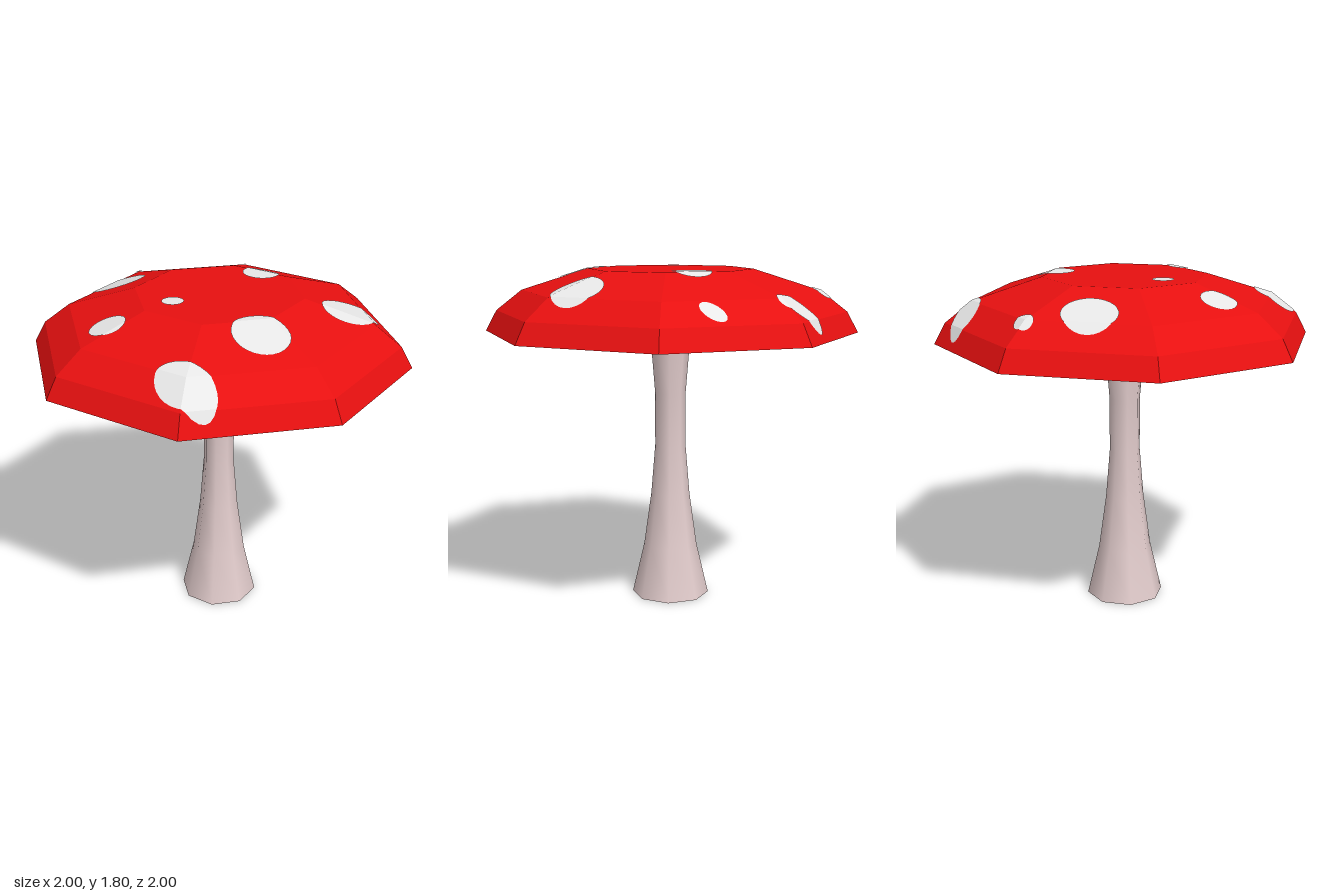
import * as THREE from 'three';

const SIDES = 8;
// Cap rings, rim to crown: [radius, height]
const CAP = [[1, 1.46], [0.94, 1.57], [0.8, 1.68], [0.44, 1.795], [0, 1.795]];
const STEM = [[0.21, 0], [0.145, 0.28], [0.105, 0.57], [0.083, 0.84], [0.083, 1.13], [0.108, 1.44]];
// Spots seen from above: [x, z, half width, half depth, turn]
const SPOTS = [
  [0.01, -0.8, 0.06, 0.046, 0.5],
  [-0.24, -0.615, 0.15, 0.13, 0.2],
  [0.525, -0.655, 0.074, 0.122, -0.42],
  [0.768, -0.24, 0.041, 0.068, 0.2],
  [0.36, -0.125, 0.096, 0.102, 0],
  [-0.615, -0.065, 0.091, 0.094, 0],
  [-0.26, -0.027, 0.056, 0.056, 0],
  [0.515, 0.43, 0.16, 0.133, -0.1],
  [-0.1, 0.5, 0.138, 0.148, -0.2],
  [-0.575, 0.575, 0.106, 0.168, -0.28],
];

const lathe = (profile) =>
  new THREE.LatheGeometry(profile.map(([r, y]) => new THREE.Vector2(r, y)), SIDES);

function flat(geometry) {
  const g = geometry.toNonIndexed();
  g.computeVertexNormals();
  return g;
}

function corner([r, y], i) {
  const a = (i / SIDES) * Math.PI * 2;
  return new THREE.Vector3(r * Math.sin(a), y, r * Math.cos(a));
}

// Keep the part of a polygon (seen from above) inside the edge a-b
function clip(poly, a, b) {
  const side = (p) => (b.z - a.z) * (p.x - a.x) - (b.x - a.x) * (p.z - a.z);
  const out = [];
  poly.forEach((p, i) => {
    const q = poly[(i + 1) % poly.length];
    const sp = side(p), sq = side(q);
    if (sp >= 0) out.push(p);
    if ((sp >= 0) !== (sq >= 0)) out.push(p.clone().lerp(q, sp / (sp - sq)));
  });
  return out;
}

// Ellipse laid over the cap facets, folded exactly along their edges
function spotGeometry([cx, cz, rx, rz, turn]) {
  const outline = [];
  for (let i = 0; i < 28; i++) {
    const t = (i / 28) * Math.PI * 2;
    const u = rx * Math.sin(t), v = rz * Math.cos(t);
    outline.push(new THREE.Vector3(
      cx + u * Math.cos(turn) - v * Math.sin(turn), 0,
      cz + u * Math.sin(turn) + v * Math.cos(turn)));
  }
  const positions = [];
  for (let k = 0; k < CAP.length - 1; k++) {
    for (let i = 0; i < SIDES; i++) {
      const facet = [corner(CAP[k], i), corner(CAP[k], i + 1), corner(CAP[k + 1], i + 1), corner(CAP[k + 1], i)];
      let poly = outline;
      facet.forEach((a, j) => { poly = clip(poly, a, facet[(j + 1) % 4]); });
      if (poly.length < 3) continue;
      const o = facet[0];
      const n = facet[1].clone().sub(o).cross(facet[3].clone().sub(o));
      const lifted = poly.map((p) => [
        p.x, o.y - (n.x * (p.x - o.x) + n.z * (p.z - o.z)) / n.y + 0.005, p.z]);
      for (let j = 1; j < lifted.length - 1; j++) {
        positions.push(...lifted[0], ...lifted[j], ...lifted[j + 1]);
      }
    }
  }
  const g = new THREE.BufferGeometry();
  g.setAttribute('position', new THREE.Float32BufferAttribute(positions, 3));
  g.computeVertexNormals();
  return g;
}

export function createModel() {
  const material = (name, color) => {
    const m = new THREE.MeshStandardMaterial({ color });
    m.name = name;
    return m;
  };
  const red = material('cap red', 0xe81010);
  const white = material('spot white', 0xe7e7e7);
  const pale = material('stem pale pink', 0xe2cccc);

  const model = new THREE.Group();
  model.name = 'mushroom';
  const add = (name, geometry, mat, parent = model) => {
    const mesh = new THREE.Mesh(geometry, mat);
    mesh.name = name;
    parent.add(mesh);
    return mesh;
  };

  // Stem: smooth flared column with a flat foot
  add('stem', lathe(STEM), pale);
  add('stemBase', new THREE.CircleGeometry(STEM[0][0], SIDES).rotateX(Math.PI / 2), pale);

  // Cap: faceted dome over a shallow cone underside
  add('cap', flat(lathe(CAP)), red);
  add('capUnderside', flat(lathe([[0, 1.423], CAP[0]])), pale);

  // Spots
  const spots = new THREE.Group();
  spots.name = 'spots';
  model.add(spots);
  SPOTS.forEach((s, i) => add(`spot${i + 1}`, spotGeometry(s), white, spots));

  return model;
}
